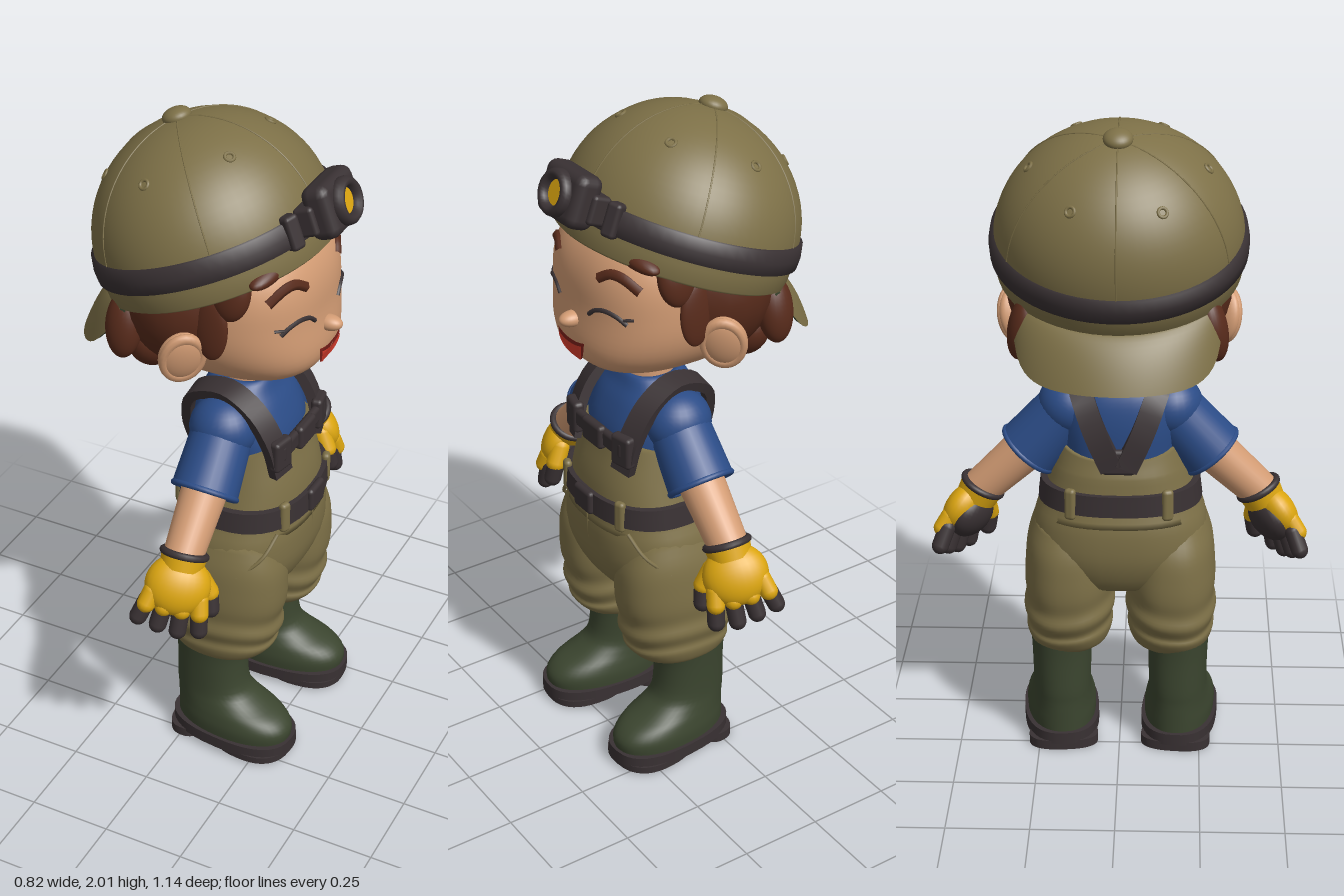
import * as THREE from 'three';
import { toCreasedNormals } from 'three/addons/utils/BufferGeometryUtils.js';
import { RoundedBoxGeometry } from 'three/addons/geometries/RoundedBoxGeometry.js';
import { ParametricGeometry } from 'three/addons/geometries/ParametricGeometry.js';

const V = (x, y, z) => new THREE.Vector3(x, y, z);
const colour = (name, color) => Object.assign(new THREE.MeshStandardMaterial({ color }), { name });

export function createModel() {
  const olive = colour('olive cloth', 0x7d7047), blue = colour('blue shirt', 0x2b4c87);
  const skin = colour('skin', 0xd39c74), brown = colour('brown hair', 0x582b1b);
  const black = colour('black rubber', 0x393133), yellow = colour('yellow glove', 0xdca610);
  const green = colour('boot green', 0x3b452f), red = colour('tongue red', 0xe2402f);
  const darkRed = colour('mouth dark red', 0x85231c);
  olive.side = green.side = darkRed.side = red.side = THREE.DoubleSide;

  const body = new THREE.Group();
  body.name = 'body';
  const add = (parent, name, geo, mat, pos = [0, 0, 0], rot = [0, 0, 0]) => {
    const m = new THREE.Mesh(geo, mat);
    m.name = name;
    m.position.set(...pos);
    m.rotation.set(...rot);
    parent.add(m);
    return m;
  };
  const group = (parent, name, pos = [0, 0, 0], rot = [0, 0, 0]) => {
    const g = new THREE.Group();
    g.name = name;
    g.position.set(...pos);
    g.rotation.set(...rot);
    parent.add(g);
    return g;
  };
  const ball = (rx, ry, rz) => new THREE.SphereGeometry(1, 28, 20).scale(rx, ry, rz);
  const box = (w, h, d, r = 0.012) => new RoundedBoxGeometry(w, h, d, 2, r);
  const tube = (pts, r) => new THREE.TubeGeometry(new THREE.CatmullRomCurve3(pts), 16, r, 6);

  // Skins a stack of closed rings and caps both ends
  function skinRings(rings) {
    const n = rings[0].length, rows = rings.length, pos = [], idx = [];
    rings.forEach(r => r.forEach(p => pos.push(p.x, p.y, p.z)));
    for (const r of [rings[0], rings[rows - 1]]) {
      const c = r.reduce((s, p) => s.add(p), V(0, 0, 0)).divideScalar(n);
      pos.push(c.x, c.y, c.z);
    }
    for (let j = 0; j < n; j++) {
      const k = (j + 1) % n, top = (rows - 1) * n;
      for (let i = 0; i < rows - 1; i++) {
        const a = i * n + j, b = i * n + k;
        idx.push(a, a + n, b, b, a + n, b + n);
      }
      idx.push(rows * n, j, k, rows * n + 1, top + k, top + j);
    }
    const g = new THREE.BufferGeometry();
    g.setAttribute('position', new THREE.Float32BufferAttribute(pos, 3));
    g.setIndex(idx);
    g.computeVertexNormals();
    return g;
  }
  // Smooth loft through sections [y, rx, rz, cz]; warp may bend each point
  function loft(secs, power = 2.4, warp = null) {
    const size = new THREE.CatmullRomCurve3(secs.map(s => V(s[0], s[1], s[2])), false, 'catmullrom');
    const mid = new THREE.CatmullRomCurve3(secs.map(s => V(s[3], 0, 0)), false, 'catmullrom');
    const rings = [], steps = (secs.length - 1) * 4;
    const pw = c => Math.sign(c) * Math.abs(c) ** (2 / power);
    for (let i = 0; i <= steps; i++) {
      const s = size.getPoint(i / steps), cz = mid.getPoint(i / steps).x;
      rings.push(Array.from({ length: 40 }, (_, j) => {
        const a = j / 40 * Math.PI * 2;
        const p = V(pw(Math.cos(a)) * s.y, s.x, pw(Math.sin(a)) * s.z + cz);
        if (warp) warp(p, a);
        return p;
      }));
    }
    return skinRings(rings);
  }
  // Flat webbing along a path, facing away from the chest centre
  function ribbon(pts, w, t) {
    const c = new THREE.CatmullRomCurve3(pts), rings = [];
    for (let i = 0; i <= 24; i++) {
      const p = c.getPoint(i / 24), T = c.getTangent(i / 24);
      const W = T.clone().cross(V(p.x * 0.4, p.y - 1, p.z - 0.1)).normalize(), N = W.clone().cross(T);
      rings.push([[1, 1], [-1, 1], [-1, -1], [1, -1]].map(([a, b]) =>
        p.clone().addScaledVector(W, a * w / 2).addScaledVector(N, b * t / 2)));
    }
    return toCreasedNormals(skinRings(rings), 0.7);
  }
  // Capsule or cone between two points
  function limb(parent, name, a, b, ra, rb, mat, round = false) {
    const d = b.clone().sub(a), L = d.length();
    const g = round ? new THREE.CapsuleGeometry(ra, L, 6, 14) : new THREE.CylinderGeometry(rb, ra, L, 28);
    const m = add(parent, name, g, mat, a.clone().add(b).multiplyScalar(0.5).toArray());
    m.quaternion.setFromUnitVectors(V(0, 1, 0), d.normalize());
  }

  // Head: boxy ellipsoid with the jaw pushed forward
  const head = group(body, 'head'), P = 2.5;
  const jaw = y => 1 + 0.47 * Math.max(0, -y / 0.25) ** 2;
  const faceZ = (x, y) => {
    const v = y - 1.52, u = Math.abs(x / 0.28) ** P + Math.abs(v / 0.25) ** P;
    return 0.06 + 0.275 * Math.max(0, 1 - u) ** (1 / P) * jaw(v);
  };
  const skull = new THREE.SphereGeometry(1, 56, 40), q = skull.attributes.position;
  for (let i = 0; i < q.count; i++) {
    const p = V().fromBufferAttribute(q, i);
    p.multiplyScalar((Math.abs(p.x) ** P + Math.abs(p.y) ** P + Math.abs(p.z) ** P) ** (-1 / P));
    p.multiply(V(0.28, 0.25, 0.275));
    q.setXYZ(i, p.x, p.y, p.z > 0 ? p.z * jaw(p.y) : p.z);
  }
  skull.computeVertexNormals();
  add(head, 'face', skull, skin, [0, 1.52, 0.06]);
  add(head, 'nose', ball(0.028, 0.023, 0.042), skin, [0, 1.452, 0.342]);
  add(head, 'neck', new THREE.CylinderGeometry(0.075, 0.08, 0.16, 28), skin, [0, 1.25, 0.09]);
  add(head, 'hair', ball(0.325, 0.27, 0.237), brown, [0, 1.53, -0.026]);

  // Mouth plates laid on the face
  const mouthPlate = (top, w, lift) => {
    const s = new THREE.Shape();
    s.moveTo(-w, top);
    s.quadraticCurveTo(0, top - 0.02, w, top);
    s.bezierCurveTo(w * 0.85, 1.3, -w * 0.85, 1.3, -w, top);
    const g = new THREE.ShapeGeometry(s, 16), a = g.attributes.position;
    for (let i = 0; i < a.count; i++) a.setZ(i, faceZ(a.getX(i), a.getY(i)) + lift);
    g.computeVertexNormals();
    return g;
  };
  add(head, 'mouth', mouthPlate(1.402, 0.068, 0.007), darkRed);
  add(head, 'tongue', mouthPlate(1.392, 0.061, 0.011), red);

  for (const s of [1, -1]) {
    const side = group(head, s > 0 ? 'leftFace' : 'rightFace');
    side.scale.x = s;
    const onFace = (pts, lift) => pts.map(([x, y]) => V(x, y, faceZ(x, y) + lift));
    add(side, 'closedEye', tube(onFace([[0.075, 1.495], [0.1, 1.515], [0.135, 1.523], [0.17, 1.514], [0.195, 1.495]], 0.001), 0.007), black);
    add(side, 'lash', tube(onFace([[0.18, 1.505], [0.195, 1.51], [0.21, 1.512]], 0.001), 0.005), black);
    add(side, 'eyebrow', tube(onFace([[0.1, 1.61], [0.135, 1.63], [0.17, 1.626], [0.215, 1.595]], -0.004), 0.016), brown);
    // Ear turned slightly forward, with a soft rim
    const ear = group(side, 'ear', [0.298, 1.42, 0.035], [0.1, -0.7, -0.15]);
    add(ear, 'earBody', ball(0.032, 0.084, 0.068), skin);
    add(ear, 'earRim', new THREE.TorusGeometry(0.054, 0.014, 10, 28).scale(1, 1.28, 1), skin, [0.01, 0, 0], [0, Math.PI / 2, 0]);
    // Locks at the temple, sideburn, fringe and nape
    for (const [name, x, y, z, rx, ry, rz, t] of [
      ['templeHair', 0.25, 1.63, 0.16, 0.035, 0.085, 0.06, 0.2], ['sideburn', 0.277, 1.515, 0.115, 0.018, 0.095, 0.05, 0.05],
      ['fringe', 0.15, 1.685, 0.235, 0.12, 0.03, 0.045, -0.15], ['napeLock', 0.265, 1.45, -0.165, 0.045, 0.1, 0.055, 0.2],
      ['napeHair', 0.15, 1.36, -0.13, 0.1, 0.085, 0.075, 0.3]])
      add(side, name, ball(rx, ry, rz), brown, [x, y, z], [0, 0, t]);
  }

  // Backward cap, tilted towards the rear
  const cap = group(body, 'cap', [0, 1.67, -0.018], [-0.35, 0, 0]);
  const dome = (a, t) => V(0.358 * Math.cos(t) * Math.sin(a), 0.33 * Math.sin(t), 0.34 * Math.cos(t) * Math.cos(a));
  const prof = [[0.325, -0.09], [0.34, -0.103], [0.353, -0.095], [0.356, -0.05]].map(p => new THREE.Vector2(...p));
  for (let i = 0; i <= 18; i++) {
    const t = i / 18 * Math.PI / 2;
    prof.push(new THREE.Vector2(0.358 * Math.cos(t), 0.33 * Math.sin(t)));
  }
  add(cap, 'capDome', new THREE.LatheGeometry(prof, 64).scale(1, 1, 0.95), olive);
  add(cap, 'capButton', ball(0.042, 0.025, 0.042), olive, [0, 0.332, 0]);
  for (let k = 0; k < 6; k++) {
    const a = k * Math.PI / 3, at = dome(a + Math.PI / 6, 0.8);
    add(cap, 'capSeam', tube(Array.from({ length: 8 }, (_, i) => dome(a, 0.1 + i * 0.2)), 0.0025), olive);
    const hole = add(cap, 'eyelet', new THREE.TorusGeometry(0.013, 0.005, 8, 16), olive, at.toArray());
    hole.quaternion.setFromUnitVectors(V(0, 0, 1), at.normalize());
  }
  const strapProfile = [[0.35, -0.038], [0.369, -0.034], [0.371, 0], [0.365, 0.036], [0.343, 0.04]].map(p => new THREE.Vector2(...p));
  add(cap, 'lampStrap', new THREE.LatheGeometry(strapProfile, 64).scale(1, 1, 0.95), black);
  const brim = off => new ParametricGeometry((u, v, p) => {
    const a = (u * 2 - 1) * 1.02, w = Math.sqrt(1 - (u * 2 - 1) ** 6);
    p.set((0.342 + 0.02 * v * w) * Math.sin(a), -0.085 - (0.108 * v ** 1.5 + 0.055 * v * Math.sin(a) ** 2) * w - off * (1 - v ** 6),
      -0.33 * Math.cos(a) - 0.142 * v * w);
  }, 36, 10);
  add(cap, 'brimTop', brim(0), olive);
  add(cap, 'brimUnderside', brim(0.022), green);

  // Headlamp with a recessed lens
  const lamp = group(cap, 'headlamp', [0, 0.025, 0.39]);
  add(lamp, 'lampBack', box(0.22, 0.085, 0.06), black, [0, -0.01, -0.035]);
  add(lamp, 'lampBody', box(0.19, 0.155, 0.085, 0.03), black);
  add(lamp, 'lampRing', new THREE.TorusGeometry(0.052, 0.016, 10, 32).scale(1, 1, 1.5), black, [0, 0, 0.044]);
  add(lamp, 'lampLens', new THREE.CylinderGeometry(0.042, 0.042, 0.008, 28), yellow, [0, 0, 0.042], [Math.PI / 2, 0, 0]);
  for (const s of [-1, 1]) add(lamp, 'strapClip', box(0.045, 0.1, 0.05), black, [s * 0.13, -0.02, -0.07], [0, s * 0.4, 0]);

  // Shirt and overalls
  add(body, 'shirt', loft([[0.96, 0.17, 0.15, 0.105], [1.07, 0.18, 0.15, 0.1], [1.15, 0.17, 0.132, 0.09],
    [1.2, 0.135, 0.108, 0.085], [1.235, 0.095, 0.088, 0.088], [1.23, 0.07, 0.07, 0.09]]), blue);
  add(body, 'overallBib', loft([[0.78, 0.25, 0.2, 0.11], [0.85, 0.232, 0.188, 0.115], [0.93, 0.21, 0.18, 0.115],
    [1.0, 0.195, 0.165, 0.11], [1.05, 0.184, 0.156, 0.107]], 2.4,
    (p, a) => { p.y += Math.max(0, (p.y - 0.93) / 0.12) * (0.045 * Math.sin(a) - 0.02); }), olive);
  add(body, 'trouserSeat', loft([[0.53, 0.08, 0.08, 0.105], [0.56, 0.19, 0.15, 0.105], [0.65, 0.262, 0.193, 0.108],
    [0.75, 0.264, 0.2, 0.11], [0.82, 0.243, 0.19, 0.113], [0.86, 0.236, 0.188, 0.115]], 2.4), olive);
  add(body, 'flySeam', tube([V(0, 0.8, 0.307), V(0.004, 0.7, 0.303), V(0, 0.62, 0.285)], 0.005), olive);
  add(body, 'belt', toCreasedNormals(loft([[0.82, 0.25, 0.203, 0.115], [0.885, 0.242, 0.2, 0.115]]), 0.7), black);
  add(body, 'beltBuckle', box(0.09, 0.075, 0.025), black, [0, 0.852, 0.316]);
  add(body, 'chestStrap', box(0.29, 0.055, 0.025), black, [0, 1.065, 0.268]);
  add(body, 'chestBuckle', box(0.1, 0.075, 0.03), black, [0, 1.065, 0.278]);
  add(body, 'backPatch', box(0.1, 0.08, 0.025), black, [0, 0.99, -0.062]);

  for (const s of [1, -1]) {
    const half = group(body, s > 0 ? 'leftHalf' : 'rightHalf');
    half.scale.x = s;
    // Braces
    add(half, 'brace', ribbon([V(0.125, 0.99, 0.262), V(0.14, 1.09, 0.242), V(0.142, 1.18, 0.185), V(0.13, 1.225, 0.09),
      V(0.11, 1.185, -0.02), V(0.07, 1.08, -0.058), V(0.02, 0.97, -0.065)], 0.068, 0.03), black);
    add(half, 'braceBuckle', box(0.075, 0.1, 0.035), black, [0.13, 1.06, 0.262], [0, 0.2, 0]);
    for (const z of [0.285, -0.06]) add(half, 'beltLoop', box(0.035, 0.1, 0.025), olive, [0.145, 0.852, z], [0, z > 0 ? 0.35 : -0.35, 0]);
    add(half, 'pocketSeam', tube([V(0.17, 0.8, 0.275), V(0.225, 0.74, 0.252), V(0.27, 0.68, 0.19)], 0.006), olive);

    // Trouser leg gathered into slanting folds above the boot
    const leg = loft([[0.335, 0.095, 0.115, 0.085], [0.35, 0.12, 0.14, 0.095], [0.385, 0.134, 0.162, 0.1], [0.41, 0.13, 0.16, 0.1],
      [0.45, 0.141, 0.18, 0.1], [0.49, 0.133, 0.174, 0.1], [0.54, 0.137, 0.185, 0.103], [0.6, 0.135, 0.187, 0.105],
      [0.68, 0.126, 0.18, 0.107], [0.76, 0.1, 0.15, 0.11]],
      2.3, (p, a) => { p.y += 0.014 * Math.sin(2 * a + 1) * Math.min(1, (p.y - 0.33) * 12); });
    add(half, 'trouserLeg', leg, olive, [0.157, 0, 0]);

    // Rubber boot with a lugged sole
    const boot = group(half, 'boot', [0.175, 0, 0], [0, 0.09, 0]);
    add(boot, 'bootUpper', loft([[0.045, 0.107, 0.19, 0.148], [0.09, 0.109, 0.191, 0.149], [0.125, 0.103, 0.175, 0.133], [0.158, 0.095, 0.14, 0.098],
      [0.2, 0.09, 0.117, 0.073], [0.3, 0.092, 0.11, 0.068], [0.37, 0.096, 0.115, 0.07]], 2.2), green);
    const rim = (name, y0, y1, rx, rz, cz) => add(boot, name, toCreasedNormals(loft([[y0, rx, rz, cz], [y1, rx, rz, cz]], 2.5), 0.7), black);
    rim('sole', 0.022, 0.06, 0.118, 0.202, 0.148);
    rim('heel', 0, 0.03, 0.108, 0.062, 0.012);
    rim('foreSole', 0.008, 0.03, 0.112, 0.125, 0.222);
    for (let i = 0; i < 5; i++) add(boot, 'tread', box(0.17 - Math.abs(i - 1.5) * 0.018, 0.02, 0.025, 0.004), black, [0, 0.01, 0.13 + i * 0.045]);

    // Arm
    const arm = group(half, 'arm');
    add(arm, 'shoulder', ball(0.098, 0.095, 0.102), blue, [0.15, 1.115, 0.09]);
    limb(arm, 'sleeve', V(0.15, 1.11, 0.09), V(0.278, 0.963, 0.092), 0.09, 0.099, blue);
    const hem = add(arm, 'sleeveHem', new THREE.TorusGeometry(0.094, 0.009, 8, 32), blue, [0.276, 0.966, 0.092]);
    hem.quaternion.setFromUnitVectors(V(0, 0, 1), V(0.128, -0.147, 0).normalize());
    limb(arm, 'forearm', V(0.25, 1.0, 0.092), V(0.435, 0.825, 0.098), 0.07, 0.058, skin);

    // Work glove: yellow back, black palm and fingertips, turned palm inward
    const glove = group(group(arm, 'wrist', [0.42, 0.84, 0.1], [0, 0, 0.5]), 'glove', [0, 0, 0], [0, -0.5, 0]);
    add(glove, 'cuff', new THREE.CylinderGeometry(0.068, 0.062, 0.045, 28), yellow, [0, -0.02, 0]);
    add(glove, 'cuffTrim', new THREE.TorusGeometry(0.062, 0.011, 10, 28), black, [0, 0.002, 0], [Math.PI / 2, 0, 0]);
    add(glove, 'handBack', ball(0.058, 0.09, 0.096), yellow, [0.008, -0.09, 0]);
    add(glove, 'palm', ball(0.05, 0.076, 0.084), black, [-0.018, -0.1, 0]);
    for (let j = 0; j < 4; j++) {
      const f = j - 1.5, len = 0.228 - Math.abs(f - 0.3) * 0.012;
      limb(glove, 'knuckle', V(0.016, -0.12, f * 0.046), V(0.014, -0.16, f * 0.052), 0.027, 0, yellow, true);
      limb(glove, 'fingertip', V(0.002, -0.15, f * 0.051), V(-0.014, -len, f * 0.06), 0.026, 0, black, true);
    }
    limb(glove, 'thumbBase', V(-0.01, -0.06, 0.06), V(-0.025, -0.1, 0.095), 0.03, 0, yellow, true);
    limb(glove, 'thumbTip', V(-0.028, -0.105, 0.098), V(-0.038, -0.15, 0.112), 0.027, 0, black, true);
  }

  // The figure looks towards +x
  body.rotation.y = Math.PI / 2;
  const model = new THREE.Group();
  model.name = 'figure';
  model.add(body);
  return model;
}
